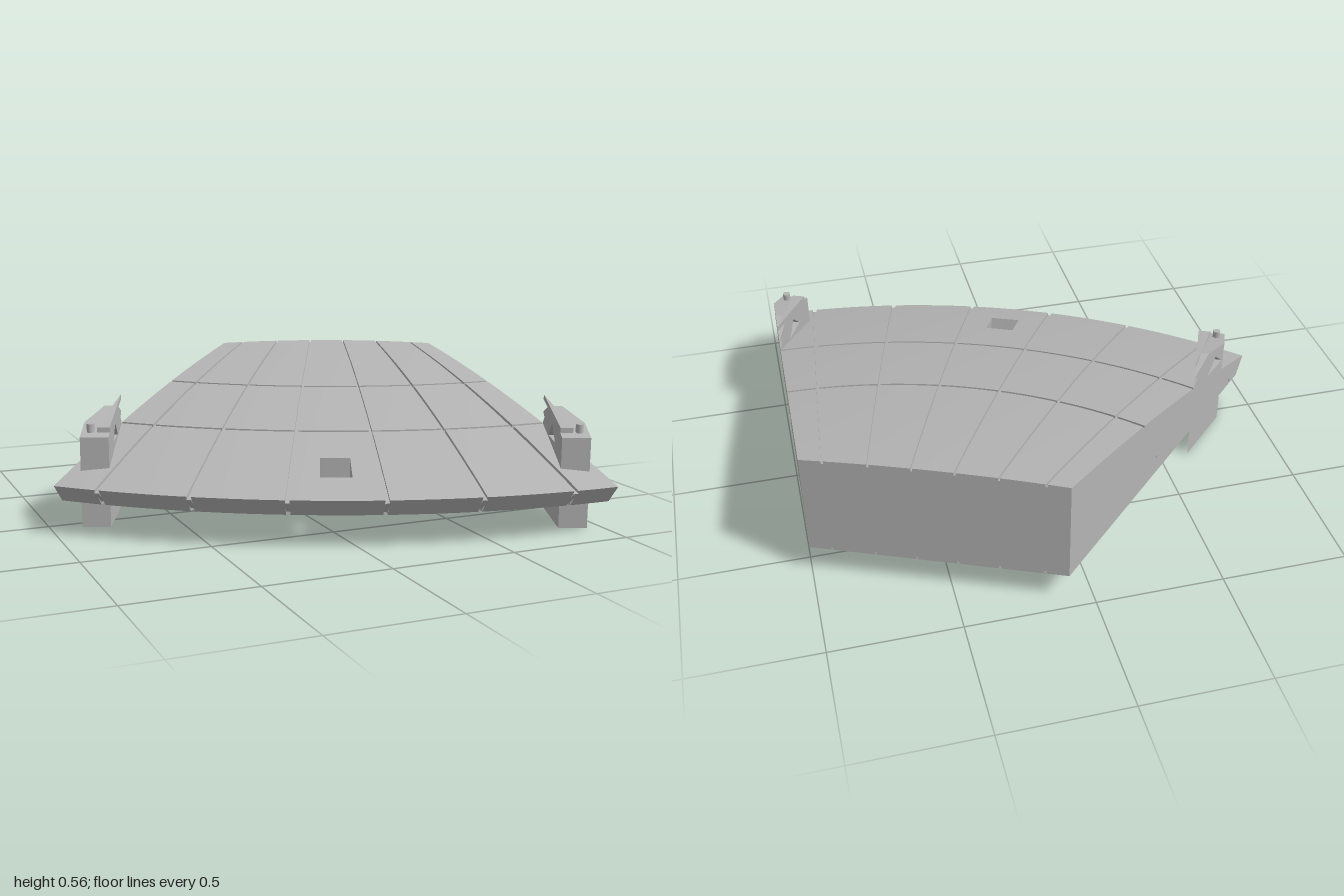
import * as THREE from 'three';
import { toCreasedNormals } from 'three/addons/utils/BufferGeometryUtils.js';

// The panel is a 45 degree ring sector; everything is built around its centre, facing +z.
const DEG = Math.PI / 180;
const HALF = 22.5, R_OUT = 2.815, R_LIP = 2.76, BASE = 0.12, CHORD = 1.188;
const GROOVE = 0.012;
const HOLE = { a: 1.33, r0: 2.51, r1: 2.655 };
const RADIAL = [0, 1, 2, 3, 4, 5].map(k => -18.75 + 7.5 * k);
const RINGS = [1.84, 2.29];

// Height of the domed top at radius r
const domeY = r => { const s = R_OUT - r; return 0.19 + 0.3137 * s - 0.0534 * s * s; };

// Sector slab with a straight back, grooves, an undercut lip and a square through hole
function panelGeometry() {
  const special = [-HALF, HALF, -HOLE.a, HOLE.a];
  RADIAL.forEach(g => special.push(g - 0.17, g + 0.17));
  const angles = [...special];
  for (let i = 1; i < 48; i++) {
    const a = -HALF + i * 0.9375;
    if (special.every(s => Math.abs(s - a) > 0.3)) angles.push(a);
  }
  angles.sort((a, b) => a - b);

  const inner = 5, first = RINGS[0] - 0.006;
  const radii = [first, RINGS[0] + 0.006, 1.95, 2.06, 2.17, RINGS[1] - 0.006, RINGS[1] + 0.006,
    2.4, HOLE.r0, HOLE.r1, 2.73, R_OUT];
  const nA = angles.length - 1, nR = inner + radii.length - 1;
  const radius = (i, j) => {
    if (j >= inner) return radii[j - inner];
    const back = CHORD / Math.cos(angles[i] * DEG);
    return back + (first - back) * j / inner;
  };
  const lowRadius = r => r === R_OUT ? R_LIP : r === HOLE.r1 ? 2.63 : r;

  // Describe a cell: is it solid, and is it cut by a groove above or below
  const cell = (i, j) => {
    if (i < 0 || j < 0 || i >= nA || j >= nR) return null;
    const a = (angles[i] + angles[i + 1]) / 2, r = (radius(i, j) + radius(i, j + 1)) / 2;
    if (Math.abs(a) < HOLE.a && r > HOLE.r0 && r < HOLE.r1) return null;
    const radial = RADIAL.some(g => Math.abs(g - a) < 0.17);
    const ring = RINGS.some(g => Math.abs(g - r) < 0.006);
    return { top: radial || ring ? GROOVE : 0, low: radial ? GROOVE : 0 };
  };
  const point = (i, r, y) => [r * Math.sin(angles[i] * DEG), y, r * Math.cos(angles[i] * DEG)];
  const top = ([i, j], cut) => point(i, radius(i, j), domeY(radius(i, j)) - cut);
  const low = ([i, j], cut) => point(i, lowRadius(radius(i, j)), BASE + cut);

  const pos = [];
  const quad = (a, b, c, d) => pos.push(...a, ...b, ...c, ...a, ...c, ...d);
  for (let i = 0; i < nA; i++) for (let j = 0; j < nR; j++) {
    const me = cell(i, j);
    if (!me) continue;
    const c = [[i, j], [i, j + 1], [i + 1, j + 1], [i + 1, j]];
    quad(...c.map(p => top(p, me.top)));
    quad(...c.map(p => low(p, me.low)).reverse());
    const next = [cell(i - 1, j), cell(i, j + 1), cell(i + 1, j), cell(i, j - 1)];
    next.forEach((n, k) => {
      const a = c[k], b = c[(k + 1) % 4];
      if (!n) quad(low(a, me.low), low(b, me.low), top(b, me.top), top(a, me.top));
      else {
        if (n.top > me.top) quad(top(a, n.top), top(b, n.top), top(b, me.top), top(a, me.top));
        if (n.low > me.low) quad(low(a, me.low), low(b, me.low), low(b, n.low), low(a, n.low));
      }
    });
  }
  const g = new THREE.BufferGeometry();
  g.setAttribute('position', new THREE.Float32BufferAttribute(pos, 3));
  return toCreasedNormals(g, 0.3);
}

// Bracket placement: inner face offset, front distance, width, and where the sector side trims it
const U0 = 0.8757, V0 = 2.507, WIDTH = 0.112, TAN = Math.tan(HALF * DEG);
const KINK = V0 - (U0 + WIDTH) / TAN, LEN = V0 - U0 / TAN;

// Extrude a (distance from front, height) profile sideways, trimmed flush with the sector side
function trimmed(points, width, side, hole) {
  const toV = p => new THREE.Vector2(p[0], p[1]);
  const shape = new THREE.Shape(points.map(toV));
  if (hole) shape.holes.push(new THREE.Path(hole.map(toV)));
  const g = new THREE.ExtrudeGeometry(shape, { depth: 1, bevelEnabled: false });
  const p = g.attributes.position;
  for (let i = 0; i < p.count; i++) {
    const d = p.getX(i), t = p.getZ(i);
    const w = Math.max(0, Math.min(width, (V0 - d) * TAN - U0));
    p.setXYZ(i, side > 0 ? U0 + t * w : -U0 - (1 - t) * w, p.getY(i), V0 - d);
  }
  g.computeVertexNormals();
  return g;
}

export function createModel() {
  const grey = new THREE.MeshStandardMaterial({ color: 0xb4b4b4 });
  grey.name = 'grey';
  const model = new THREE.Group();
  model.name = 'sectorPanel';
  const body = new THREE.Group();
  body.name = 'body';
  body.position.set(1.0126, 0, -1.86);
  body.rotation.y = -23.08 * DEG;
  model.add(body);

  const add = (name, geometry, parent = body) => {
    const m = new THREE.Mesh(geometry, grey);
    m.name = name;
    parent.add(m);
    return m;
  };
  add('domedPanel', panelGeometry());

  for (const side of [1, -1]) {
    const bracket = new THREE.Group();
    bracket.name = side > 0 ? 'leftBracket' : 'rightBracket';
    body.add(bracket);

    // Foot and clamp in one: square front block, then a tapering rear with a window and a notch
    add('frontBlock', trimmed([[0, 0], [KINK, 0], [KINK, 0.395], [0, 0.36]], WIDTH, side), bracket);
    add('rearWeb', trimmed(
      [[KINK, 0], [LEN, 0], [LEN, 0.34], [0.36, 0.37], [LEN - 0.005, 0.39], [0.3, 0.425], [0.27, 0.435], [KINK, 0.395]],
      WIDTH, side, [[0.132, 0.315], [0.265, 0.315], [0.2, 0.375]]), bracket);

    // Sloping latch bar and its peg
    add('latchBar', trimmed([[0.04, 0.372], [LEN, 0.44], [LEN, 0.46], [0.04, 0.392]], 0.05, side), bracket);
    add('latchPeg', new THREE.CylinderGeometry(0.015, 0.015, 0.04, 20), bracket)
      .position.set(side * 0.952, 0.385, 2.458);

    // Small pins on the sides
    const pin = (parent, x, y, z, turn) => {
      const g = new THREE.CylinderGeometry(0.013, 0.013, 0.004, 20).rotateZ(Math.PI / 2);
      const m = add('sidePin', g, parent);
      m.position.set(side * x, y, z);
      m.rotation.y = side * turn;
    };
    pin(bracket, U0 + WIDTH, 0.34, V0 - 0.055, 0);
    for (const [r, y] of [[1.99, 0.2], [2.69, 0.145]])
      pin(body, r * Math.sin(HALF * DEG), y, r * Math.cos(HALF * DEG), HALF * DEG);
  }
  return model;
}
